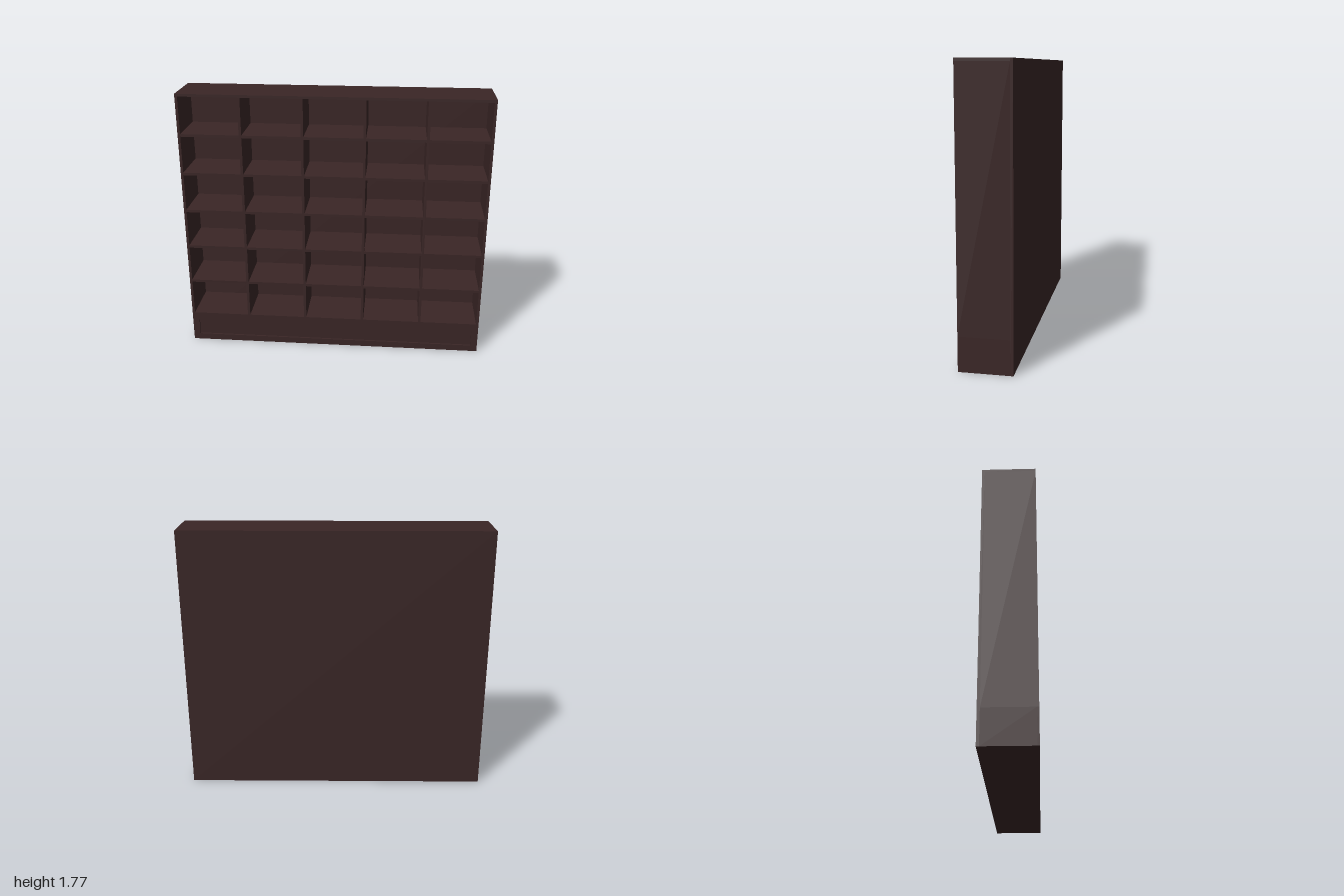
import * as THREE from 'three';

export function createModel() {
  const group = new THREE.Group();
  group.name = 'cubbyShelf';
  const wood = new THREE.MeshStandardMaterial({ color: 0x3a2626 });
  wood.name = 'darkWood';

  const W = 2, H = 1.775, D = 0.326, T = 0.017; // overall size and board thickness
  const front = D / 2, backFace = -D / 2 + T;
  const cols = 5, rows = 6, baseTop = 0.213;
  const innerW = W - 2 * T, innerTop = H - T;

  // Box given by its minimum and maximum corners
  function board(name, x0, x1, y0, y1, z0, z1) {
    const mesh = new THREE.Mesh(new THREE.BoxGeometry(x1 - x0, y1 - y0, z1 - z0), wood);
    mesh.position.set((x0 + x1) / 2, (y0 + y1) / 2, (z0 + z1) / 2);
    mesh.name = name;
    group.add(mesh);
  }

  // Outer case
  board('backPanel', -W / 2, W / 2, 0, H, -front, backFace);
  board('topBoard', -W / 2, W / 2, innerTop, H, backFace, front);
  board('rightSide', -W / 2, -W / 2 + T, baseTop, innerTop, backFace, front);
  board('leftSide', W / 2 - T, W / 2, baseTop, innerTop, backFace, front);

  // Plinth with a shallow recessed panel framed on its front
  const recess = 0.012, px = 0.955, py0 = 0.043, py1 = 0.157;
  board('plinth', -W / 2, W / 2, 0, baseTop, backFace, front - recess);
  board('plinthBottomRail', -W / 2, W / 2, 0, py0, front - recess, front);
  board('plinthTopRail', -W / 2, W / 2, py1, baseTop, front - recess, front);
  board('plinthRightStile', -W / 2, -px, py0, py1, front - recess, front);
  board('plinthLeftStile', px, W / 2, py0, py1, front - recess, front);

  // Upright dividers between the columns
  const cellW = (innerW - (cols - 1) * T) / cols;
  const cellH = (innerTop - baseTop - (rows - 1) * T) / rows;
  for (let c = 1; c < cols; c++) {
    const x = -innerW / 2 + c * (cellW + T) - T;
    board('divider', x, x + T, baseTop, innerTop, backFace, front);
  }

  // Shelves within each column
  for (let c = 0; c < cols; c++) {
    const x = -innerW / 2 + c * (cellW + T);
    for (let r = 1; r < rows; r++) {
      const y = baseTop + r * (cellH + T) - T;
      board('shelf', x, x + cellW, y, y + T, backFace, front);
    }
  }
  return group;
}
